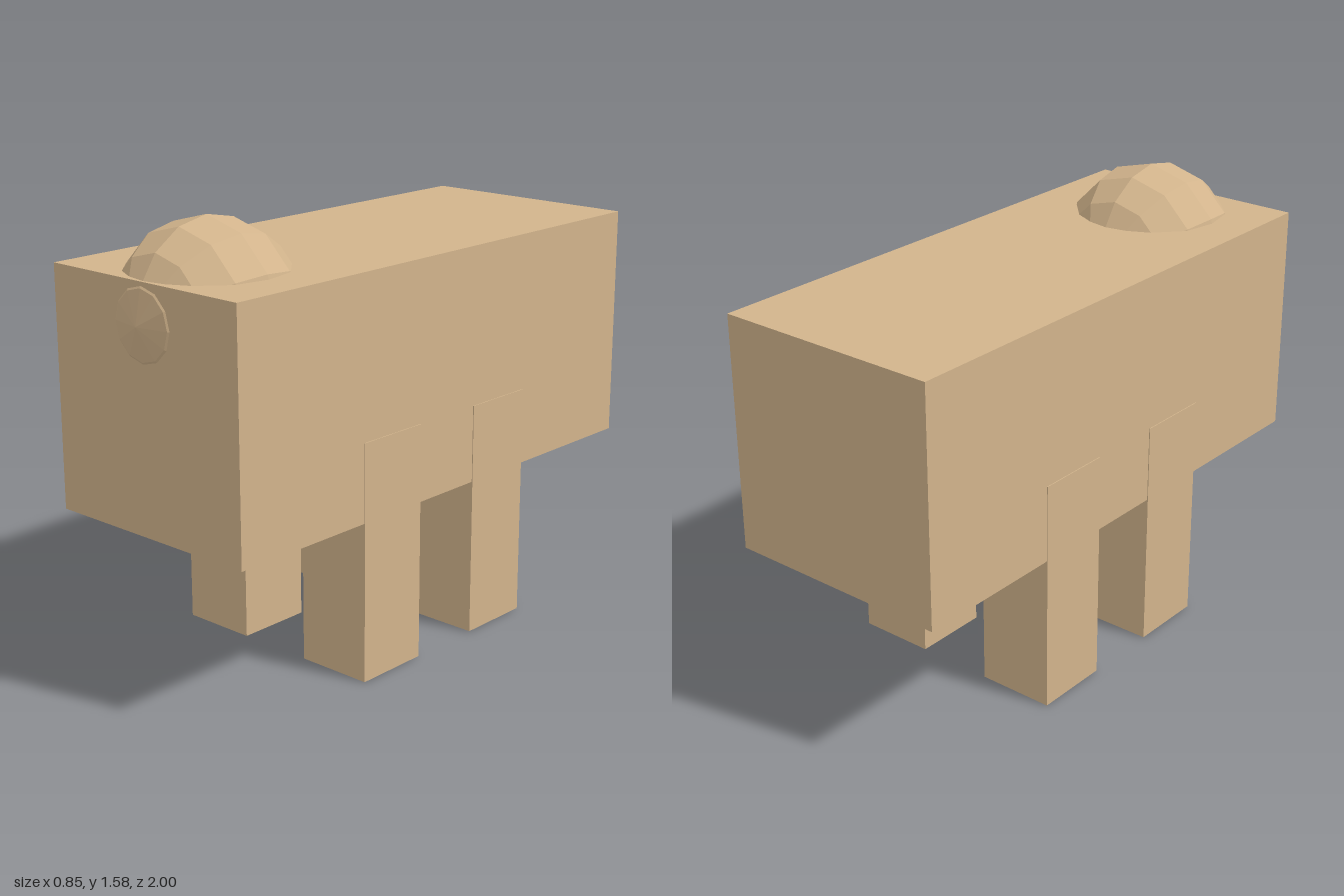
import * as THREE from 'three';

export function createModel() {
  const model = new THREE.Group();
  const tan = new THREE.MeshStandardMaterial({ color: 0xd2b48c });
  tan.name = 'tan';
  tan.flatShading = true;

  const add = (name, geometry, x, y, z) => {
    const mesh = new THREE.Mesh(geometry, tan);
    mesh.name = name;
    mesh.position.set(x, y, z);
    model.add(mesh);
  };

  // Long block body
  add('body', new THREE.BoxGeometry(0.84, 0.842, 1.972), 0, 0.988, -0.014);

  // Faceted head with its poles along z, mostly sunk into the body
  add('head', new THREE.SphereGeometry(0.31, 12, 8).rotateX(Math.PI / 2), 0, 1.27, 0.69);

  // Four legs, standing slightly proud of the body's sides
  const leg = new THREE.BoxGeometry(0.282, 0.845, 0.282);
  for (const [end, z] of [['front', 0.27], ['back', -0.295]]) {
    for (const [side, sign] of [['Left', 1], ['Right', -1]]) {
      add(`${end}${side}Leg`, leg, sign * 0.282, 0.4225, z);
    }
  }
  return model;
}
